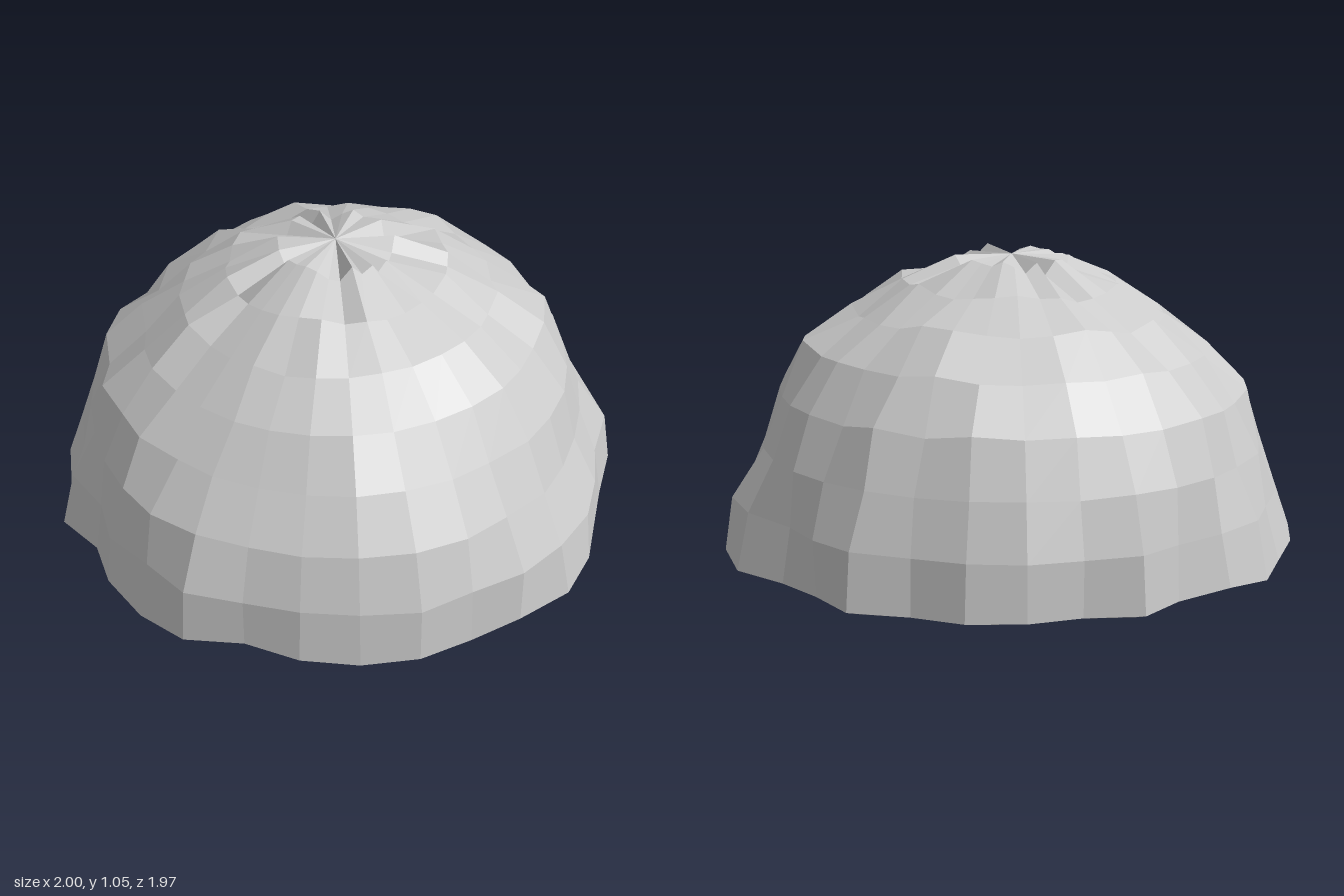
import * as THREE from 'three';

const SEGMENTS = 32; // around the dome
const RINGS = 8;     // rim to crown

// Rim radius, starting at the front (+z) and turning towards +x
const RIM = [
  1.0, 1.02, 1.02, 0.99, 1.0, 1.04, 1.01, 0.97, 0.97, 1.02, 1.02, 0.94, 0.94, 1.01, 0.94, 0.99,
  0.97, 0.92, 0.98, 0.9, 0.96, 0.99, 0.97, 0.99, 1.0, 0.97, 1.01, 0.94, 0.99, 1.01, 1.03, 0.97,
];
// Per ring: average swell, lean towards the front, lean to the left,
// extra depth front to back, how much rim waviness remains, and roughness
const SWELL = [1, 0.985, 0.975, 0.985, 0.985, 0.98, 0.985, 1.0, 1.005];
const LEAN = [0, 0.015, 0.01, -0.012, -0.01, -0.008, 0, 0, 0];
const SIDE = [0, 0.01, 0.01, 0.005, 0.03, 0.01, 0.01, 0, 0];
const DEPTH = [0, 0.015, 0.02, 0, 0, 0, 0, 0, 0];
const WAVE = [1, 0.55, 0.3, 0.1, 0, 0, 0, 0, 0];
const ROUGH = [0, 0.022, 0.022, 0.022, 0.022, 0.024, 0.028, 0.034, 0];
const CENTRE = new THREE.Vector3(0, 0.043, -0.02);

function makeNoise(seed) {
  let s = seed;
  return () => {
    s = (s * 16807) % 2147483647;
    return (s / 2147483647) * 2 - 1;
  };
}

// Rings of uneven points on a hemisphere; inset(t) is the distance inside the outer surface
function domeRings(seed, inset, rimDrop) {
  const noise = makeNoise(seed);
  const rings = [];
  for (let j = 0; j <= RINGS; j++) {
    const up = (j / RINGS) * Math.PI / 2;
    const ring = [];
    for (let k = 0; k < SEGMENTS; k++) {
      const turn = (k / SEGMENTS) * Math.PI * 2;
      const r = SWELL[j] + LEAN[j] * Math.cos(turn) + SIDE[j] * Math.sin(turn)
        + DEPTH[j] * Math.cos(2 * turn) + WAVE[j] * (RIM[k] - 1)
        + ROUGH[j] * noise() - inset(j / RINGS);
      const y = r * Math.sin(up) + (j === 0 ? 0.014 * noise() - rimDrop : 0);
      ring.push(new THREE.Vector3(
        r * Math.cos(up) * Math.sin(turn), y, r * Math.cos(up) * Math.cos(turn),
      ).add(CENTRE));
    }
    rings.push(ring);
  }
  return rings;
}

// Quads between neighbouring rings, each with a single normal taken across its diagonals
function skin(name, rings, material) {
  const points = [];
  const normals = [];
  for (let j = 0; j < rings.length - 1; j++) {
    for (let k = 0; k < SEGMENTS; k++) {
      const n = (k + 1) % SEGMENTS;
      const a = rings[j][k], b = rings[j][n];
      const c = rings[j + 1][k], d = rings[j + 1][n];
      const normal = d.clone().sub(a).cross(c.clone().sub(b)).normalize();
      const corners = [];
      if (a.distanceTo(b) > 1e-5) corners.push(a, b, d);
      if (c.distanceTo(d) > 1e-5) corners.push(a, d, c);
      for (const corner of corners) {
        points.push(corner);
        normals.push(...normal.toArray());
      }
    }
  }
  const geometry = new THREE.BufferGeometry().setFromPoints(points);
  geometry.setAttribute('normal', new THREE.Float32BufferAttribute(normals, 3));
  const mesh = new THREE.Mesh(geometry, material);
  mesh.name = name;
  return mesh;
}

export function createModel() {
  const group = new THREE.Group();
  group.name = 'hollowDome';
  const material = new THREE.MeshStandardMaterial({ color: 0xcccccc });

  const outer = domeRings(4711, () => 0, 0);
  const inner = domeRings(4711, (t) => 0.07 - 0.01 * t, 0.026);

  group.add(skin('outerShell', outer, material));
  // Reversed order turns the lining and the rim to face inwards and down
  group.add(skin('innerShell', [...inner].reverse(), material));
  group.add(skin('rim', [inner[0], outer[0]], material));
  return group;
}
